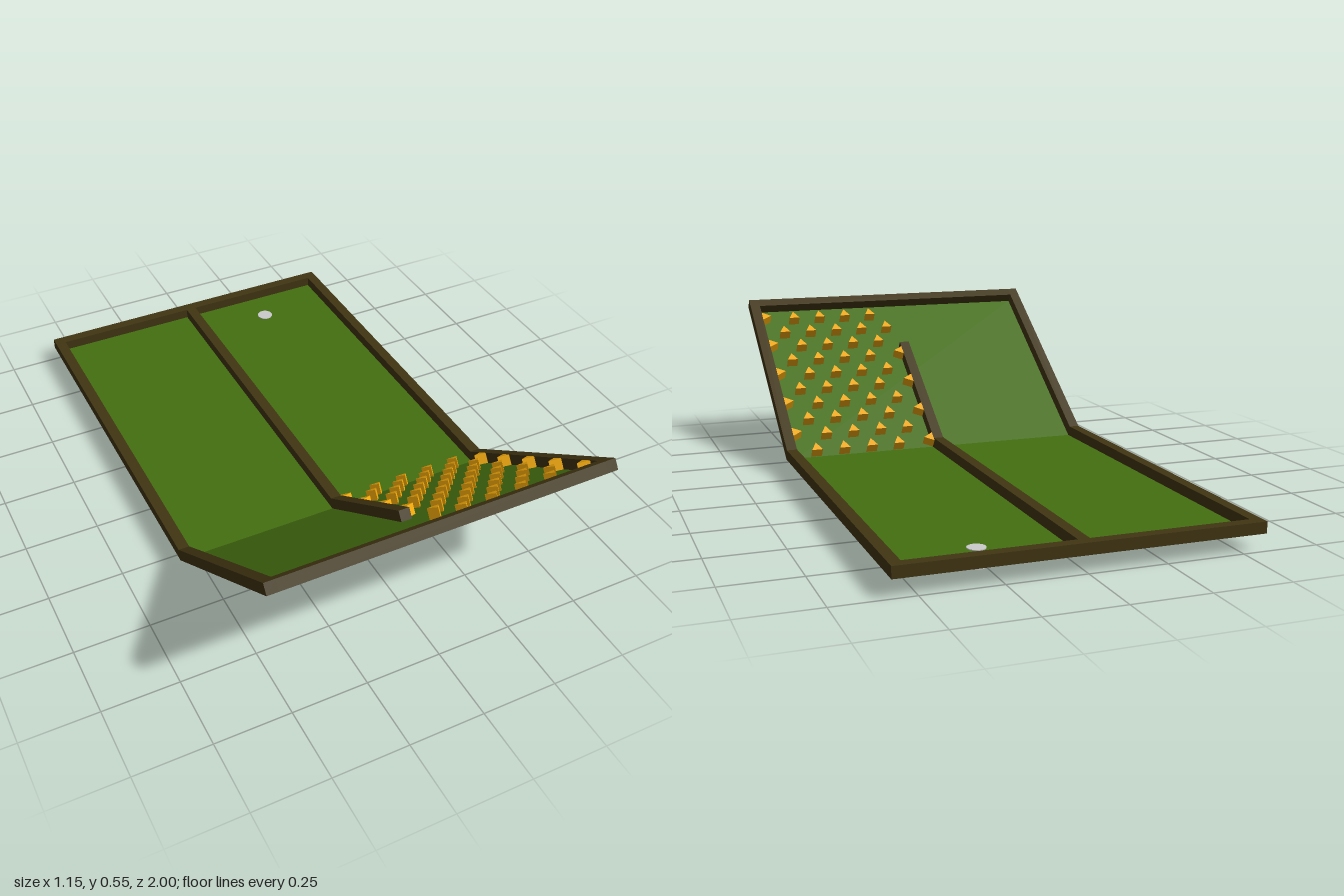
import * as THREE from 'three';

const BASE = 0.055;                       // underside of the course
const BEND = 0.33;                        // z where the ramp begins
const TILT = THREE.MathUtils.degToRad(35);
const RAMP = 0.818;                       // ramp length along its slope
const WALL = 0.037;                       // rail width and height
const HALF = 0.575;                       // half of the outer width

const wood = new THREE.MeshStandardMaterial({ color: 0x413512 });
const turf = new THREE.MeshStandardMaterial({ color: 0x446f10, side: THREE.DoubleSide });
const amber = new THREE.MeshStandardMaterial({ color: 0xf0a808, flatShading: true });
const grey = new THREE.MeshStandardMaterial({ color: 0xcccccc });

function add(parent, name, geometry, material, x = 0, y = 0, z = 0) {
  const mesh = new THREE.Mesh(geometry, material);
  mesh.name = name;
  mesh.position.set(x, y, z);
  parent.add(mesh);
  return mesh;
}

// Bent rail: side profile in (z, y), mitred at the bend, extruded across x
function bentRail(length) {
  const c = Math.cos(TILT), s = Math.sin(TILT);
  const shape = new THREE.Shape([
    [-1, BASE], [BEND, BASE],
    [BEND + length * c, BASE + length * s],
    [BEND + length * c - WALL * s, BASE + length * s + WALL * c],
    [BEND - WALL * Math.tan(TILT / 2), BASE + WALL], [-1, BASE + WALL],
  ].map(([z, y]) => new THREE.Vector2(z, y)));
  const geometry = new THREE.ExtrudeGeometry(shape, { depth: WALL, bevelEnabled: false });
  return geometry.translate(0, 0, -WALL / 2).rotateY(-Math.PI / 2);
}

export function createModel() {
  const model = new THREE.Group();
  model.name = 'miniGolfCourse';

  // Local frame of the ramp: z runs up the slope, y is its normal
  const ramp = new THREE.Group();
  ramp.name = 'ramp';
  ramp.position.set(0, BASE, BEND);
  ramp.rotation.x = -TILT;
  model.add(ramp);

  // Thin turf on the flat and on the ramp
  const width = 2 * (HALF - WALL);
  const turfSheet = (length) => new THREE.PlaneGeometry(width, length).rotateX(-Math.PI / 2);
  add(model, 'flatTurf', turfSheet(1 + BEND - WALL), turf, 0, BASE + 0.001, (BEND - 1 + WALL) / 2);
  add(ramp, 'rampTurf', turfSheet(RAMP - WALL), turf, 0, 0.001, (RAMP - WALL) / 2);

  // Side rails, the shorter divider, and the two end rails
  const side = bentRail(RAMP);
  add(model, 'leftRail', side, wood, HALF - WALL / 2);
  add(model, 'rightRail', side, wood, -HALF + WALL / 2);
  add(model, 'divider', bentRail(0.532), wood);
  const end = new THREE.BoxGeometry(width, WALL, WALL);
  add(model, 'backRail', end, wood, 0, BASE + WALL / 2, -1 + WALL / 2);
  add(ramp, 'rampEndRail', end, wood, 0, WALL / 2, RAMP - WALL / 2);

  // Cup under the flat, its top just showing through the turf
  add(model, 'cup', new THREE.CylinderGeometry(0.029, 0.029, 0.059, 24), grey, 0.275, 0.0295, -0.835);

  // Staggered triangular pegs on one half of the ramp
  const r = 0.0232;
  const peg = new THREE.CylinderGeometry(r, r, WALL, 3);
  const addPeg = (x, z, turn = 0) => {
    add(ramp, 'peg', peg, amber, x, WALL / 2, z).rotation.y = turn;
  };
  for (let row = 0; row < 10; row++) {
    const start = 0.003 + row * 0.0778;
    const odd = row % 2 === 1;
    const first = odd ? 0.102 : 0.05;
    for (let i = 0; i < (odd ? 4 : 5); i++) {
      // Pegs beside the divider turn their point away from it
      if (!odd && i === 0 && row < 8) addPeg(WALL / 2 + r / 2, start + 0.018, Math.PI / 2);
      else addPeg(first + i * 0.1035, start + r / 2);
    }
    if (odd) addPeg(HALF - WALL - r / 2, start + 0.018, -Math.PI / 2);
  }
  return model;
}
